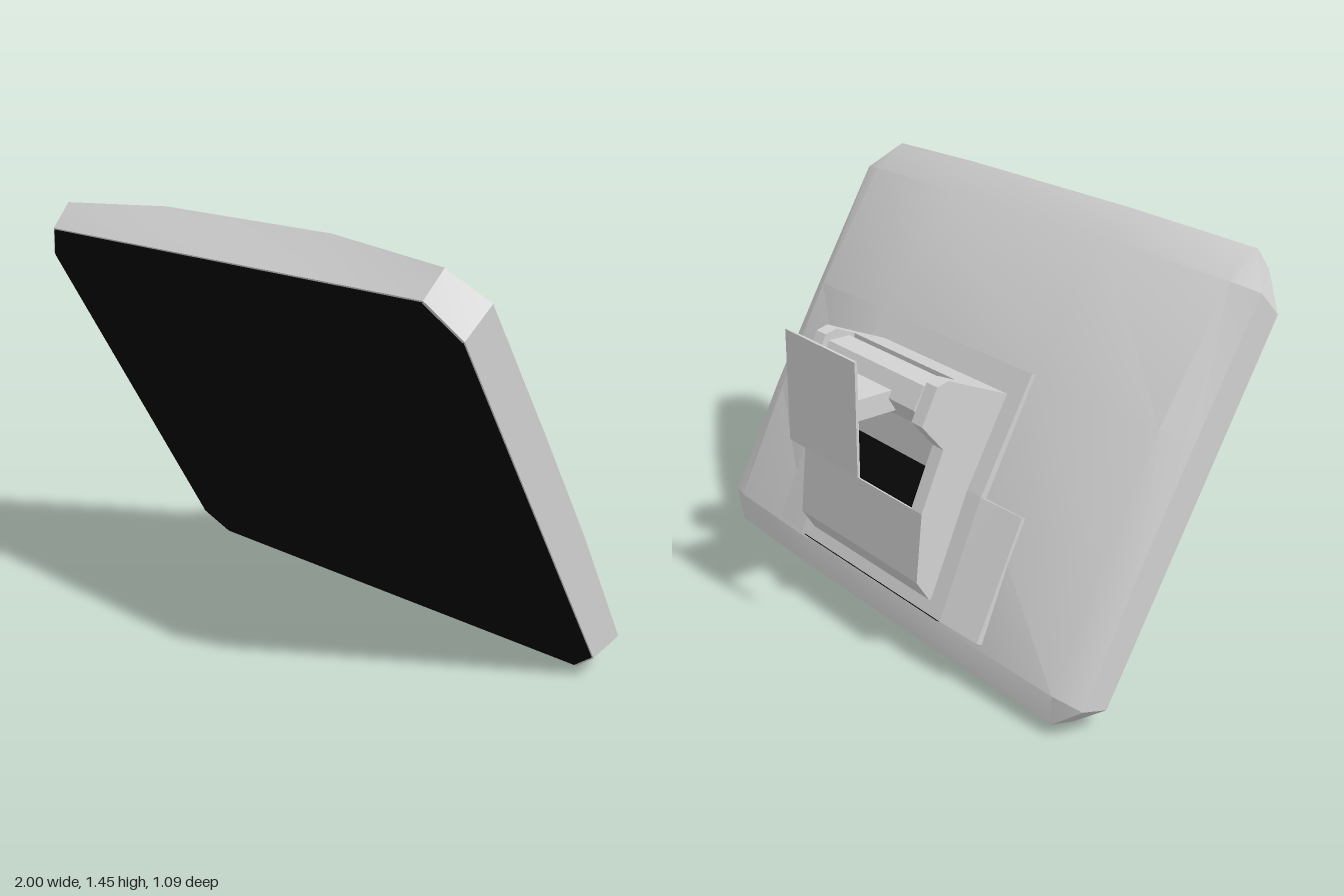
import * as THREE from 'three';
import { toCreasedNormals } from 'three/addons/utils/BufferGeometryUtils.js';

const casing = new THREE.MeshStandardMaterial({ name: 'casing grey', color: 0xd2d2d2 });
const black = new THREE.MeshStandardMaterial({ name: 'screen black', color: 0x060606 });

function add(parent, name, geometry, material = casing) {
  const mesh = new THREE.Mesh(geometry, material);
  mesh.name = name;
  parent.add(mesh);
  return mesh;
}

// Side profile of [z, y] points, extruded across x0..x1
function prism(points, x0, x1) {
  const shape = new THREE.Shape(points.map(([z, y]) => new THREE.Vector2(z, y)));
  const geo = new THREE.ExtrudeGeometry(shape, { depth: x1 - x0, bevelEnabled: false });
  return geo.rotateY(-Math.PI / 2).translate(x1, 0, 0);
}

// Domed shell: a grid of back depths with clipped corners, a drafted rim and a flat front
function shellGeometry() {
  const xs = [-1, -0.9, -0.4, 0.4, 0.9, 1];
  const rows = [-0.02, 0.07, 0.526, 0.957, 1.45, 1.58];
  const depth = [ // at |x| = 0.4, 0.9, 1
    [0.151, 0.114, null], [0.196, 0.165, 0.122], [0.258, 0.19, 0.14],
    [0.272, 0.2, 0.14], [0.22, 0.17, 0.134], [0.167, 0.106, null],
  ];
  const at = (i, j) => {
    const d = depth[j][i < 3 ? 2 - i : i - 3];
    return d === null ? null : [xs[i], rows[j], -d];
  };
  const front = ([x, y]) => [x * 0.988, ((y + 0.02) / 1.6) * 1.545, 0];
  const out = [];
  const tri = (...p) => { if (p.every(Boolean)) out.push(...p.flat()); };
  for (let j = 0; j < 5; j++) {
    for (let i = 0; i < 5; i++) {
      const a = at(i, j), b = at(i + 1, j), c = at(i + 1, j + 1), d = at(i, j + 1);
      if (a && c) { tri(a, c, b); tri(a, d, c); } else { tri(a, d, b); tri(b, d, c); }
    }
  }
  const loop = [];
  for (let i = 1; i < 5; i++) loop.push(at(i, 0));
  for (let j = 1; j < 5; j++) loop.push(at(5, j));
  for (let i = 4; i > 0; i--) loop.push(at(i, 5));
  for (let j = 4; j > 0; j--) loop.push(at(0, j));
  loop.forEach((b, k) => {
    const b2 = loop[(k + 1) % loop.length], f = front(b), f2 = front(b2);
    tri(f, b, b2);
    tri(f, b2, f2);
    tri([0, 0.77, 0], f, f2);
  });
  const geo = new THREE.BufferGeometry();
  geo.setAttribute('position', new THREE.Float32BufferAttribute(out, 3));
  return toCreasedNormals(geo, 0.4);
}

// Tapered side wing of the raised back panel
function wingGeometry(side) {
  const geo = new THREE.BoxGeometry(1, 1, 1);
  const p = geo.attributes.position;
  for (let k = 0; k < p.count; k++) {
    const outer = p.getX(k) * side > 0, top = p.getY(k) > 0, back = p.getZ(k) < 0;
    const surface = top ? (outer ? -0.25 : -0.282) : (outer ? -0.212 : -0.232);
    p.setXYZ(k, side * (outer ? 0.575 : 0.405), top ? 0.524 : 0.091, back ? surface : -0.15);
  }
  geo.computeVertexNormals();
  return geo;
}

export function createModel() {
  const model = new THREE.Group();
  model.name = 'wallMountedMonitor';

  // Tilted display; local y runs up the screen and z out of it
  const display = new THREE.Group();
  display.name = 'display';
  display.position.set(0, 0.003, -0.225);
  display.rotation.x = Math.PI / 6;
  model.add(display);
  add(display, 'shell', shellGeometry());

  // Screen with clipped corners
  const corners = [[-0.885, 0.006], [0.885, 0.006], [0.982, 0.09], [0.982, 1.417],
    [0.885, 1.539], [-0.885, 1.539], [-0.982, 1.417], [-0.982, 0.09]];
  const outline = new THREE.Shape(corners.map(([x, y]) => new THREE.Vector2(x, y)));
  add(display, 'screen', new THREE.ExtrudeGeometry(outline, { depth: 0.003, bevelEnabled: false }), black);

  // Raised T-shaped back panel with a vent along its lower edge
  add(display, 'backPanel', prism(
    [[-0.15, 0.091], [-0.15, 0.957], [-0.288, 0.957], [-0.282, 0.524], [-0.232, 0.091]], -0.405, 0.405));
  for (const side of [-1, 1]) add(display, side > 0 ? 'leftWing' : 'rightWing', wingGeometry(side));
  add(display, 'vent', new THREE.BoxGeometry(0.78, 0.006, 0.026), black).position.set(0, 0.09, -0.216);

  // Mount housing: a hollow centre block between two cheeks
  const mount = new THREE.Group();
  mount.name = 'mount';
  model.add(mount);
  add(mount, 'housing', prism([[-0.01, 0.875], [-0.04, 0.895], [-0.21, 0.969], [-0.21, 0.6],
    [-0.397, 0.568], [-0.42, 0.325], [-0.37, 0.245], [-0.328, 0.226]], -0.28, 0.28));
  const cheek = [[-0.01, 0.875], [-0.04, 0.895], [-0.2, 0.965], [-0.285, 1.003], [-0.33, 0.992],
    [-0.392, 0.872], [-0.307, 0.77], [-0.397, 0.568], [-0.42, 0.325], [-0.37, 0.245], [-0.328, 0.226]];
  add(mount, 'leftCheek', prism(cheek, 0.28, 0.335));
  add(mount, 'rightCheek', prism(cheek, -0.335, -0.28));
  add(mount, 'recessFloor', prism([[-0.211, 0.6], [-0.211, 0.606], [-0.392, 0.575], [-0.392, 0.569]],
    -0.278, 0.278), black);

  // Hinge barrel, arm and wall plate
  const barrel = new THREE.CylinderGeometry(0.085, 0.085, 0.53, 6).toNonIndexed();
  barrel.computeVertexNormals();
  barrel.rotateZ(Math.PI / 2);
  add(mount, 'hingeBarrel', barrel).position.set(0, 0.9, -0.285);
  add(mount, 'arm', new THREE.BoxGeometry(0.26, 0.073, 0.25)).position.set(0, 0.887, -0.415);
  add(mount, 'wallPlate', new THREE.BoxGeometry(0.39, 0.395, 0.01)).position.set(0, 0.888, -0.54);
  return model;
}
